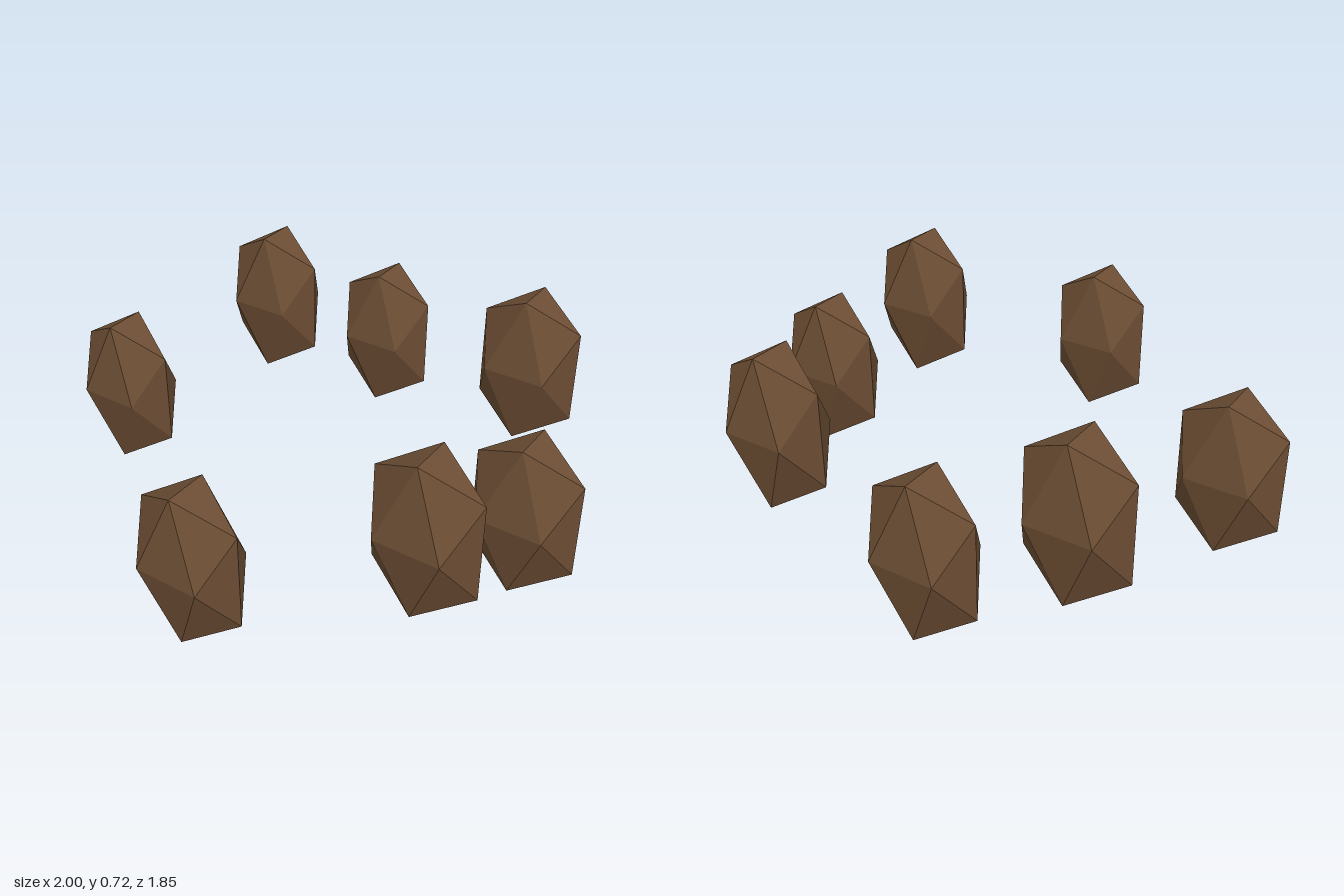
import * as THREE from 'three';

export function createModel() {
  const model = new THREE.Group();
  const material = new THREE.MeshStandardMaterial({ color: 0x6b4d33, flatShading: true });

  // One faceted rock: an icosahedron with a ridge on top, stretched tall and flattened in depth
  const reach = 0.8507; // half extent of a unit icosahedron along each axis
  const rock = new THREE.IcosahedronGeometry(1, 0);
  rock.rotateZ(Math.PI / 2);
  rock.scale(0.19 / reach, 0.287 / reach, 0.127 / reach);

  // Loose ring of rocks, some floating higher: x, z, lift
  const places = [
    [0.06, 0.80, 0],
    [0.68, 0.425, 0.15],
    [0.81, -0.015, 0],
    [0.49, -0.66, 0.15],
    [-0.215, -0.80, 0],
    [-0.61, -0.565, 0.15],
    [-0.81, 0.126, 0],
  ];
  places.forEach(([x, z, lift], i) => {
    const mesh = new THREE.Mesh(rock, material);
    mesh.name = `rock${i + 1}`;
    mesh.position.set(x, 0.287 + lift, z);
    model.add(mesh);
  });
  return model;
}
